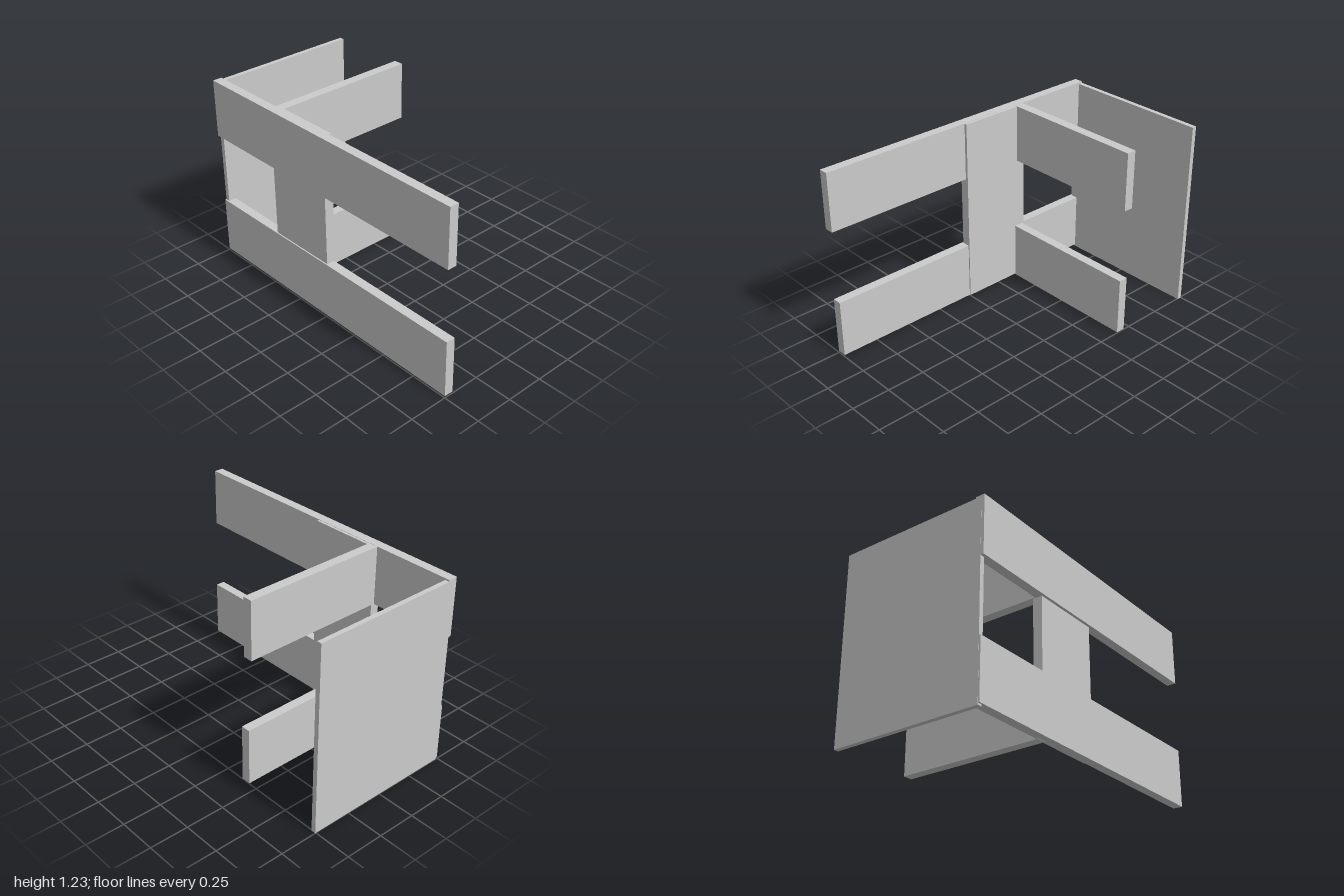
import * as THREE from 'three';

export function createModel() {
  const model = new THREE.Group();
  const material = new THREE.MeshStandardMaterial({ color: 0xcccccc, flatShading: true });

  // Board given by its extents along each axis
  function board(name, [x0, x1], [y0, y1], [z0, z1]) {
    const mesh = new THREE.Mesh(new THREE.BoxGeometry(x1 - x0, y1 - y0, z1 - z0), material);
    mesh.position.set((x0 + x1) / 2, (y0 + y1) / 2, (z0 + z1) / 2);
    mesh.name = name;
    model.add(mesh);
  }

  // Upright panel across the back
  board('backPanel', [-0.49, 0.505], [0, 1.22], [-1, -0.97]);

  // Long side rails running front to back
  board('upperSideRail', [-0.51, -0.45], [0.855, 1.23], [-0.999, 1]);
  board('lowerSideRail', [-0.5, -0.44], [0.012, 0.385], [-0.999, 1]);

  // Wide upright board joining the rails
  board('post', [-0.492, -0.432], [0.014, 1.228], [-0.46, 0.01]);

  // Cross rails reaching out from the post
  board('upperCrossRail', [-0.45, 0.498], [0.855, 1.229], [-0.465, -0.403]);
  board('lowerCrossRail', [-0.45, 0.505], [0.01, 0.384], [-0.447, -0.387]);

  return model;
}
